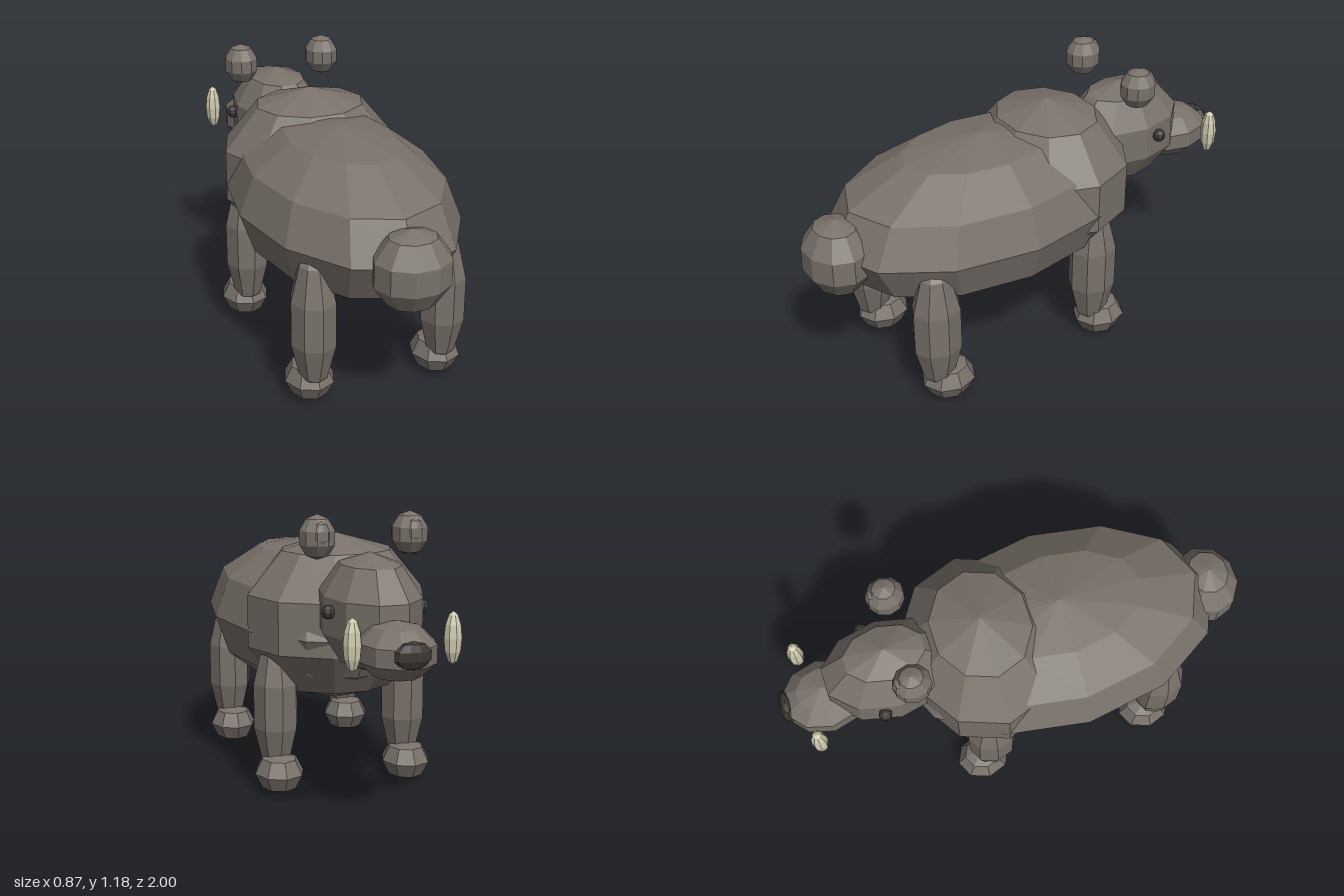
import * as THREE from 'three';

export function createModel() {
  const model = new THREE.Group();
  const material = (name, hex) => {
    const m = new THREE.MeshStandardMaterial({ color: hex });
    m.name = name;
    return m;
  };
  const hide = material('hide', 0x79716a);
  const dark = material('dark', 0x3b3733);
  const ivory = material('ivory', 0xcfcaaf);

  // Faceted ellipsoid: centre, radii, sides around, rows from pole to pole
  const blob = (name, mat, centre, radii, sides = 10, rows = 5) => {
    const geometry = new THREE.SphereGeometry(1, sides, rows)
      .scale(...radii).toNonIndexed();
    geometry.computeVertexNormals();
    const mesh = new THREE.Mesh(geometry, mat);
    mesh.name = name;
    mesh.position.set(...centre);
    model.add(mesh);
  };

  // Trunk, head and tail
  blob('body', hide, [0, 0.67, 0.2], [0.435, 0.328, 0.7], 12, 6);
  blob('shoulders', hide, [0, 0.71, -0.13], [0.4, 0.35, 0.35]);
  blob('head', hide, [0, 0.8, -0.53], [0.2, 0.235, 0.287]);
  blob('snout', hide, [0, 0.71, -0.81], [0.155, 0.112, 0.185]);
  blob('nose', dark, [0, 0.724, -0.97], [0.075, 0.054, 0.03]);
  blob('tail', hide, [0, 0.66, 0.87], [0.163, 0.165, 0.144]);

  // Mirrored parts
  for (const [side, s] of [['left', 1], ['right', -1]]) {
    blob(side + 'Ear', hide, [s * 0.19, 1.09, -0.46], [0.075, 0.088, 0.08]);
    blob(side + 'InnerEar', hide, [s * 0.19, 1.1, -0.51], [0.04, 0.055, 0.03], 8);
    blob(side + 'Eye', dark, [s * 0.19, 0.823, -0.593], [0.028, 0.028, 0.028], 8, 6);
    blob(side + 'Tusk', ivory, [s * 0.195, 0.757, -0.877], [0.036, 0.1, 0.034], 8, 6);
    for (const [end, z] of [['Front', -0.182], ['Rear', 0.593]]) {
      blob(side + end + 'Leg', hide, [s * 0.28, 0.365, z], [0.098, 0.3, 0.11], 8);
      blob(side + end + 'Foot', hide, [s * 0.28, 0.088, z - 0.045], [0.103, 0.086, 0.117], 8, 4);
    }
  }
  return model;
}
